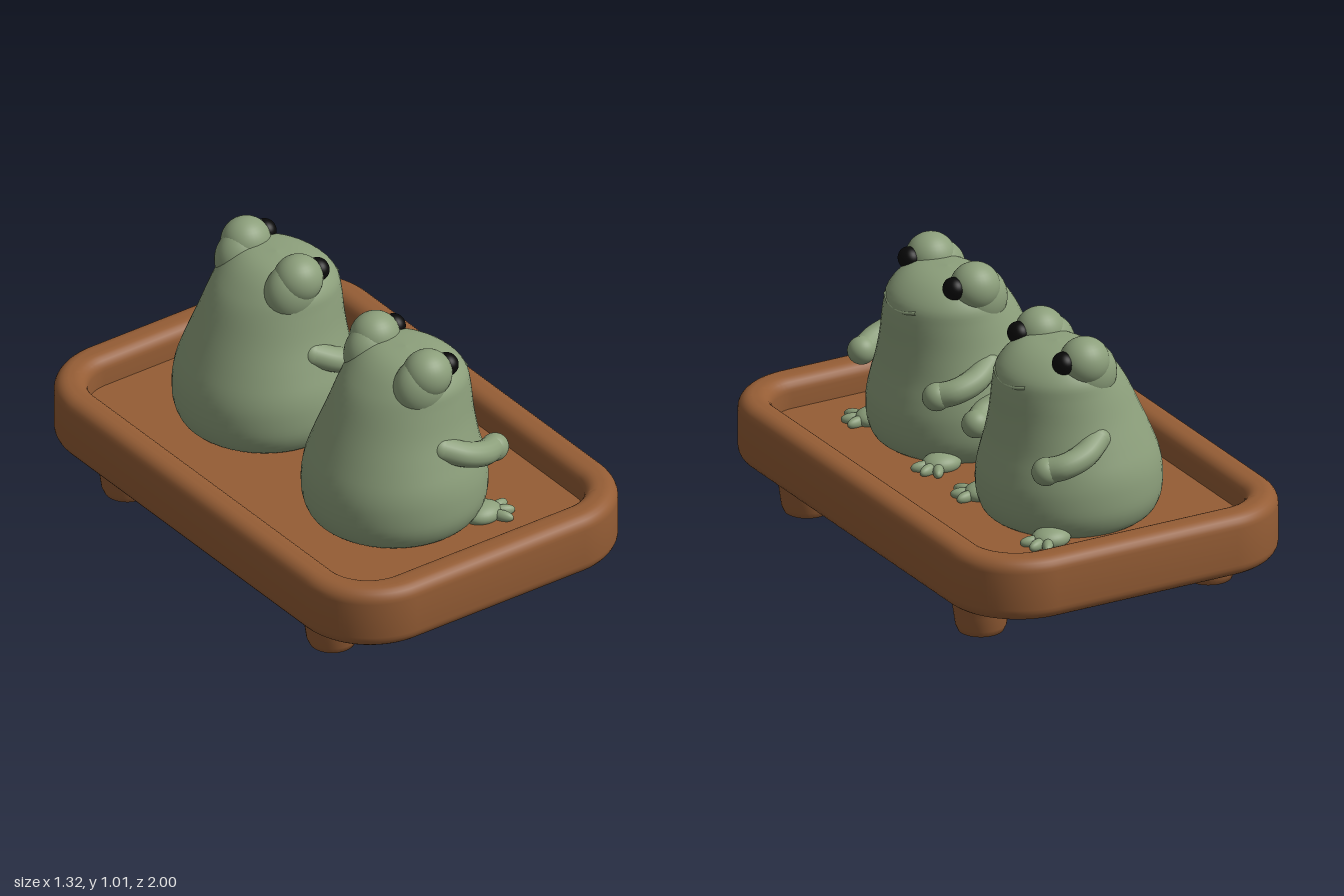
import * as THREE from 'three';
import { toCreasedNormals } from 'three/addons/utils/BufferGeometryUtils.js';

const wood = new THREE.MeshStandardMaterial({ color: 0x955d35 });
wood.name = 'warm brown wood';
const green = new THREE.MeshStandardMaterial({ color: 0x8c9f7b });
green.name = 'sage green skin';
const black = new THREE.MeshStandardMaterial({ color: 0x080808 });
black.name = 'black eyes';

function add(parent, name, geometry, material, x = 0, y = 0, z = 0) {
  const mesh = new THREE.Mesh(geometry, material);
  mesh.name = name;
  mesh.position.set(x, y, z);
  parent.add(mesh);
  return mesh;
}

function ellipsoid(parent, name, material, pos, radii) {
  const mesh = add(parent, name, new THREE.SphereGeometry(1, 32, 20), material, ...pos);
  mesh.scale.set(...radii);
  return mesh;
}

// Rounded rectangle outline with half sizes w, h and corner radius r
function roundedRect(target, w, h, r) {
  target.absarc(w - r, h - r, r, 0, Math.PI / 2);
  target.absarc(r - w, h - r, r, Math.PI / 2, Math.PI);
  target.absarc(r - w, r - h, r, Math.PI, Math.PI * 1.5);
  target.absarc(w - r, r - h, r, Math.PI * 1.5, Math.PI * 2);
  target.closePath();
  return target;
}

function createTray() {
  const tray = new THREE.Group();
  tray.name = 'tray';

  // Rounded rim
  const outline = roundedRect(new THREE.Shape(), 0.61, 0.95, 0.24);
  outline.holes.push(roundedRect(new THREE.Path(), 0.585, 0.92, 0.2));
  const rim = new THREE.ExtrudeGeometry(outline, {
    depth: 0.14, bevelThickness: 0.05, bevelSize: 0.05, bevelSegments: 6, curveSegments: 14,
  }).rotateX(-Math.PI / 2);
  add(tray, 'rim', toCreasedNormals(rim, 0.7), wood, 0, 0.21, 0);

  // Sunken floor
  const slab = new THREE.ExtrudeGeometry(roundedRect(new THREE.Shape(), 0.59, 0.93, 0.21), {
    depth: 0.13, bevelEnabled: false, curveSegments: 14,
  }).rotateX(-Math.PI / 2);
  add(tray, 'floor', toCreasedNormals(slab, 0.7), wood, 0, 0.159, 0);

  // Stubby legs with a flared top
  const profile = [[0, 0], [0.065, 0], [0.083, 0.007], [0.093, 0.03], [0.1, 0.08],
    [0.106, 0.125], [0.114, 0.148], [0.135, 0.17]].map(([r, y]) => new THREE.Vector2(r, y));
  for (const x of [-0.47, 0.47]) {
    for (const z of [-0.62, 0.62]) {
      add(tray, 'leg', new THREE.LatheGeometry(profile, 32), wood, x, 0, z);
    }
  }
  return tray;
}

// Pear-shaped body lofted through oval sections: height, back x, front x, half width
function bodyGeometry() {
  const sections = [
    [0.28, -0.29, 0.25, 0.27], [0.31, -0.335, 0.29, 0.305], [0.37, -0.358, 0.312, 0.328],
    [0.45, -0.36, 0.314, 0.33], [0.52, -0.346, 0.3, 0.32], [0.6, -0.315, 0.28, 0.295],
    [0.7, -0.27, 0.266, 0.264], [0.8, -0.22, 0.256, 0.242], [0.86, -0.175, 0.236, 0.228],
    [0.91, -0.12, 0.182, 0.19], [0.938, -0.06, 0.115, 0.13], [0.948, 0.025, 0.027, 0.001],
  ];
  const sides = new THREE.CatmullRomCurve3(
    sections.map(([y, b, f]) => new THREE.Vector3(y, b, f)), false, 'catmullrom');
  const widths = new THREE.CatmullRomCurve3(
    sections.map(([y, , , w]) => new THREE.Vector3(y, w, 0)), false, 'catmullrom');
  const rows = 44, cols = 48, position = [], index = [];
  for (let j = 0; j <= rows; j++) {
    const { x: y, y: back, z: front } = sides.getPoint(j / rows);
    const width = widths.getPoint(j / rows).y;
    for (let i = 0; i < cols; i++) {
      const a = (i / cols) * Math.PI * 2;
      position.push((back + front) / 2 + Math.cos(a) * (front - back) / 2, y, Math.sin(a) * width);
      if (j === rows) continue;
      const p = j * cols + i, q = j * cols + (i + 1) % cols;
      index.push(p, p + cols, q, q, p + cols, q + cols);
    }
  }
  const geometry = new THREE.BufferGeometry();
  geometry.setAttribute('position', new THREE.Float32BufferAttribute(position, 3));
  geometry.setIndex(index);
  geometry.computeVertexNormals();
  return geometry;
}

// Frog sitting upright and facing +x
function createFrog(reach) {
  const frog = new THREE.Group();
  frog.name = 'frog';
  add(frog, 'body', bodyGeometry(), green);

  // Gentle smile following the muzzle
  const smile = new THREE.CatmullRomCurve3([-0.11, -0.06, 0, 0.06, 0.11].map((z) =>
    new THREE.Vector3(0.031 + 0.213 * Math.sqrt(1 - (z / 0.235) ** 2), 0.825 + 1.4 * z * z, z)));
  add(frog, 'mouth', new THREE.TubeGeometry(smile, 24, 0.007, 8), green);

  for (const s of [-1, 1]) {
    // Eye mound tapering down into the head
    ellipsoid(frog, 'eyeMound', green, [0.005, 0.92, s * 0.158], [0.093, 0.091, 0.088]);
    const brow = ellipsoid(frog, 'eyeMoundBase', green, [-0.015, 0.87, s * 0.148], [0.11, 0.115, 0.086]);
    brow.rotation.z = -0.35;
    ellipsoid(frog, 'eye', black, [0.092, 0.93, s * 0.16], [0.04, 0.042, 0.045]);

    // Arm resting on the belly
    const r = s > 0 ? reach : 0;
    const arm = new THREE.CatmullRomCurve3([
      new THREE.Vector3(0.0, 0.65, s * 0.245), new THREE.Vector3(0.08, 0.615, s * 0.285),
      new THREE.Vector3(0.16, 0.59, s * 0.285), new THREE.Vector3(0.21 + r, 0.572, s * 0.25),
    ]);
    add(frog, 'arm', new THREE.TubeGeometry(arm, 20, 0.047, 16), green);
    ellipsoid(frog, 'shoulder', green, [0.0, 0.65, s * 0.245], [0.047, 0.047, 0.047]);
    ellipsoid(frog, 'hand', green, [0.215 + r, 0.57, s * 0.25], [0.054, 0.052, 0.05]);

    // Three-toed foot
    ellipsoid(frog, 'foot', green, [0.19, 0.305, s * 0.24], [0.075, 0.04, 0.06]);
    for (const angle of [-0.2, 0.4, 1.0]) {
      const toe = ellipsoid(frog, 'toe', green,
        [0.2 + Math.cos(angle) * 0.065, 0.302, s * (0.245 + Math.sin(angle) * 0.06)], [0.045, 0.022, 0.02]);
      toe.rotation.y = -s * angle;
    }
  }
  return frog;
}

export function createModel() {
  const model = new THREE.Group();
  model.name = 'frogsOnTray';
  model.add(createTray());
  [[0.386, 0.02], [-0.395, 0]].forEach(([z, reach]) => {
    const frog = createFrog(reach);
    frog.position.z = z;
    model.add(frog);
  });
  return model;
}
